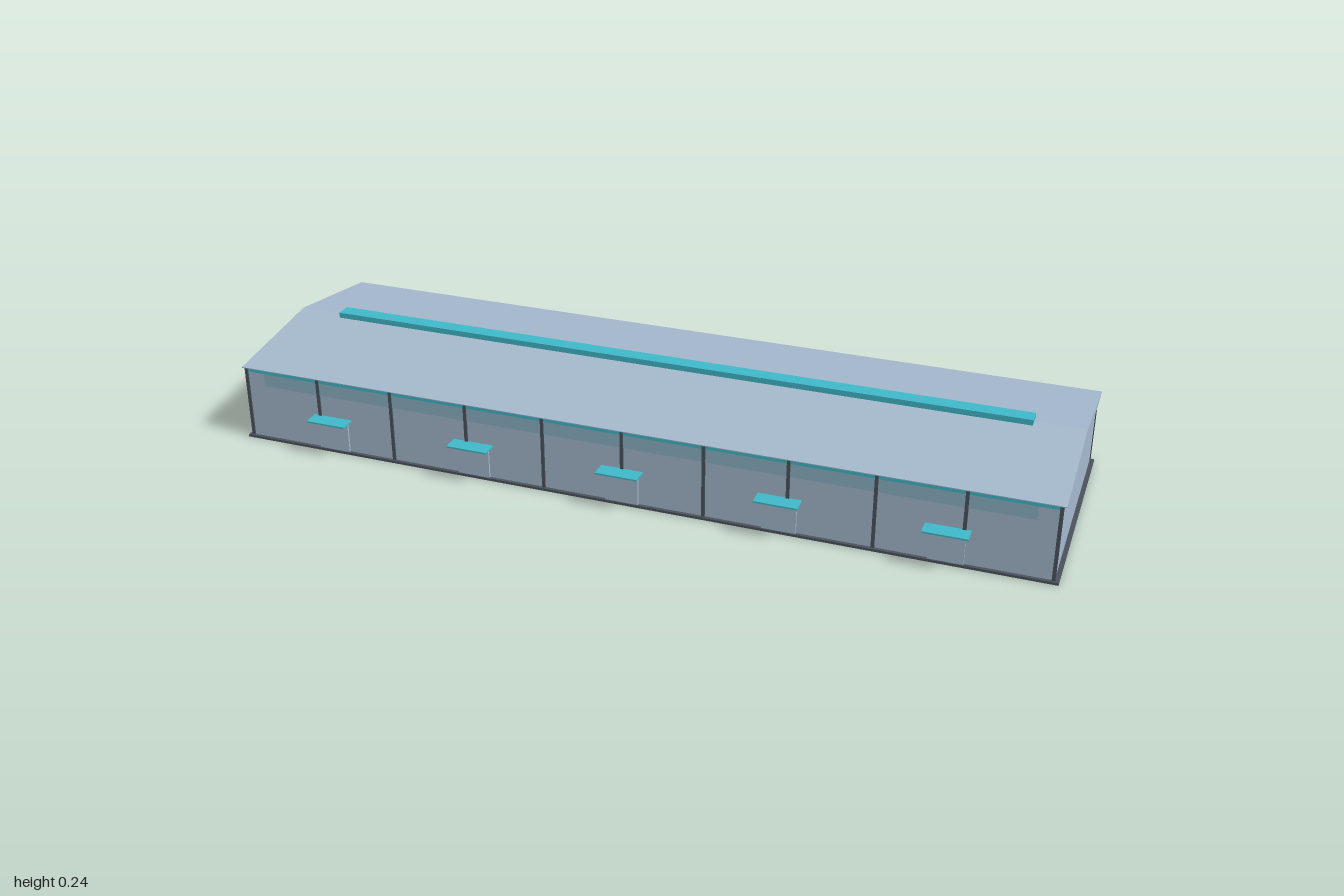
import * as THREE from 'three';

export function createModel() {
  const mat = (name, color, side = THREE.FrontSide) => {
    const m = new THREE.MeshStandardMaterial({ color, side });
    m.name = name;
    return m;
  };
  const cladding = mat('pale blue cladding', 0xa3b8cc);
  const frame = mat('dark grey frame', 0x4b525c);
  const accent = mat('teal accent', 0x3fb8c9);
  const glazing = mat('pale teal glazing', 0x8ab3c3);

  const model = new THREE.Group();
  model.name = 'warehouse';
  // The building sits slightly back so the canopies fit in front
  const hall = new THREE.Group();
  hall.name = 'hall';
  hall.position.z = -0.015;
  model.add(hall);

  // Box given by its centre, with y measured from its underside
  const box = (name, material, w, h, d, x, y, z) => {
    const mesh = new THREE.Mesh(new THREE.BoxGeometry(w, h, d), material);
    mesh.name = name;
    mesh.position.set(x, y + h / 2, z);
    hall.add(mesh);
    return mesh;
  };

  // Floor slab, walls and eaves trim
  box('floorSlab', frame, 2, 0.006, 0.595, 0, 0, 0);
  box('walls', cladding, 1.98, 0.184, 0.578, 0, 0.006, 0);
  box('eavesTrim', accent, 1.985, 0.009, 0.582, 0, 0.179, 0);

  // Gable roof, extruded along the length
  const gable = new THREE.Shape();
  gable.moveTo(-0.294, 0.188);
  gable.lineTo(0.294, 0.188);
  gable.lineTo(0.294, 0.19);
  gable.lineTo(0, 0.231);
  gable.lineTo(-0.294, 0.19);
  gable.closePath();
  const roofGeometry = new THREE.ExtrudeGeometry(gable, { depth: 1.996, bevelEnabled: false });
  roofGeometry.translate(0, 0, -0.998).rotateY(Math.PI / 2);
  const roof = new THREE.Mesh(roofGeometry, cladding);
  roof.name = 'roof';
  hall.add(roof);

  // Ridge skylight
  box('ridgeSkylight', accent, 1.76, 0.014, 0.039, 0, 0.228, 0);

  // Long sides: window strip and frame posts
  for (const side of [1, -1]) {
    box('windowStrip', glazing, 1.88, 0.034, 0.003, 0, 0.146, side * 0.289);
    for (let i = 0; i <= 10; i++) {
      box('post', frame, 0.008, 0.184, 0.006, -0.988 + i * 0.1976, 0.005, side * 0.2895);
    }
  }

  // Doors with canopies along the front
  for (let i = -2; i <= 2; i++) {
    const x = i * 0.3775;
    box('door', cladding, 0.08, 0.088, 0.006, x, 0.003, 0.291);
    box('doorCanopy', accent, 0.102, 0.004, 0.041, x, 0.088, 0.309);
  }

  return model;
}
